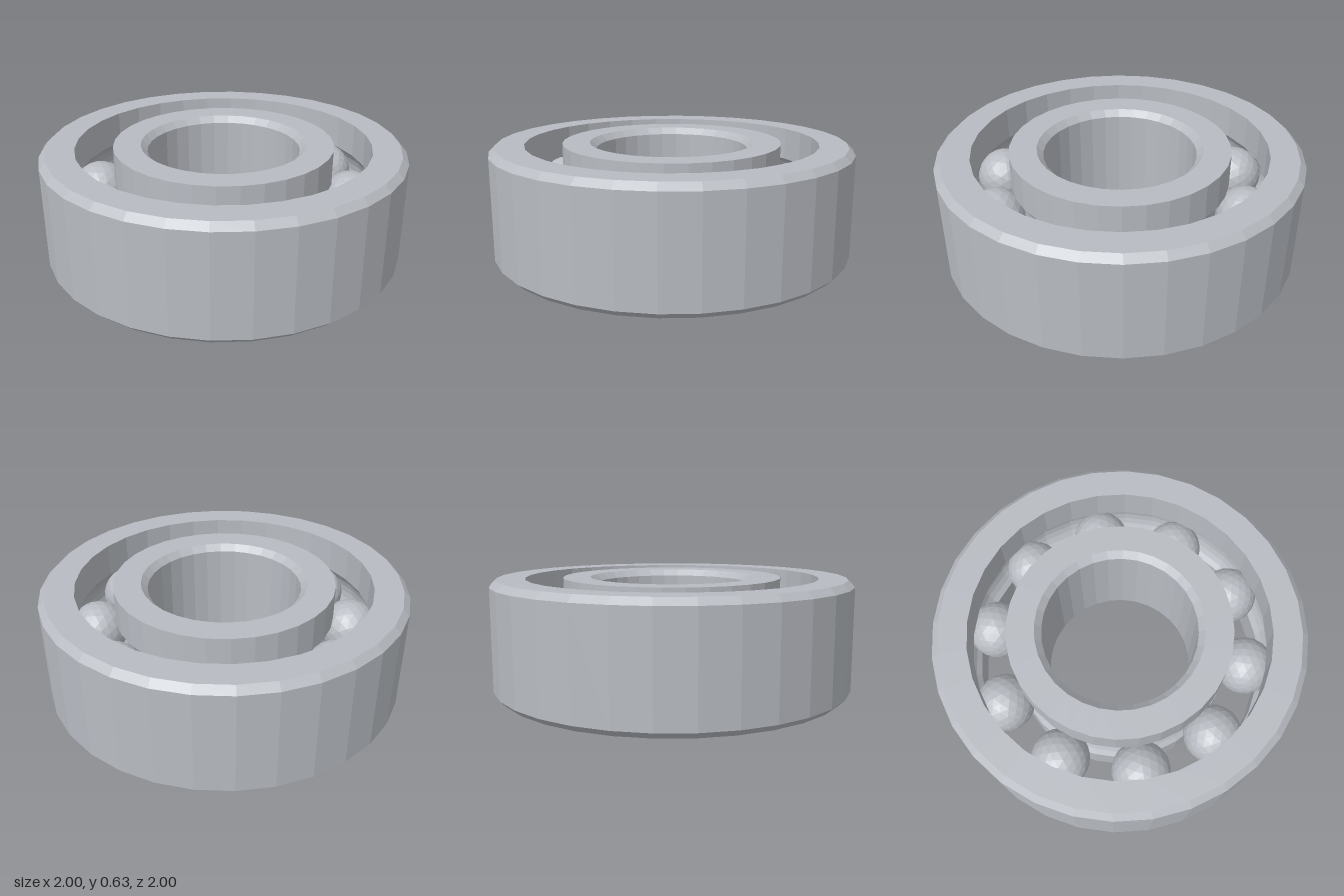
import * as THREE from 'three';

const HEIGHT = 0.63, MID = HEIGHT / 2, CHAMFER = 0.035;
const PITCH = 0.71, BALL = 0.16, BALLS = 10, SIDES = 32;

// Faceted normals
function faceted(geometry) {
  const g = geometry.index ? geometry.toNonIndexed() : geometry;
  g.computeVertexNormals();
  return g;
}

// Points of the ball groove cut into a wall at radius r, between two angles either side of the wall
function groove(r, up) {
  const R = BALL + 0.003, dx = r - PITCH, side = Math.sign(dx);
  const half = Math.acos(Math.abs(dx) / R), steps = 8, points = [];
  for (let i = 0; i <= steps; i++) {
    const a = (up ? 1 : -1) * half * (2 * i / steps - 1);
    points.push([PITCH + side * R * Math.cos(a), MID + R * Math.sin(a)]);
  }
  return points;
}

// Revolves a closed counter-clockwise profile
function ring(name, profile, material) {
  const points = [...profile, profile[0]].map(([x, y]) => new THREE.Vector2(x, y));
  const mesh = new THREE.Mesh(faceted(new THREE.LatheGeometry(points, SIDES)), material);
  mesh.name = name;
  return mesh;
}

export function createModel() {
  const model = new THREE.Group();
  model.name = 'ballBearing';
  const steel = new THREE.MeshStandardMaterial({ color: 0xb8bcc2 });
  steel.name = 'steel';

  // Outer ring, chamfered on its outside edges
  model.add(ring('outerRing', [
    [0.81, 0], [1 - CHAMFER, 0], [1, CHAMFER],
    [1, HEIGHT - CHAMFER], [1 - CHAMFER, HEIGHT], [0.81, HEIGHT],
    ...groove(0.81, false),
  ], steel));

  // Inner ring, chamfered around the bore
  model.add(ring('innerRing', [
    [0.42 + CHAMFER, 0], [0.605, 0],
    ...groove(0.605, true),
    [0.605, HEIGHT], [0.42 + CHAMFER, HEIGHT],
    [0.42, HEIGHT - CHAMFER], [0.42, CHAMFER],
  ], steel));

  // Balls running between the rings
  const balls = new THREE.Group();
  balls.name = 'balls';
  const ballGeometry = faceted(new THREE.IcosahedronGeometry(BALL, 3));
  for (let i = 0; i < BALLS; i++) {
    const a = i / BALLS * Math.PI * 2;
    const ball = new THREE.Mesh(ballGeometry, steel);
    ball.name = 'ball';
    ball.position.set(PITCH * Math.cos(a), MID, PITCH * Math.sin(a));
    ball.rotation.y = -a;
    balls.add(ball);
  }
  model.add(balls);
  return model;
}
